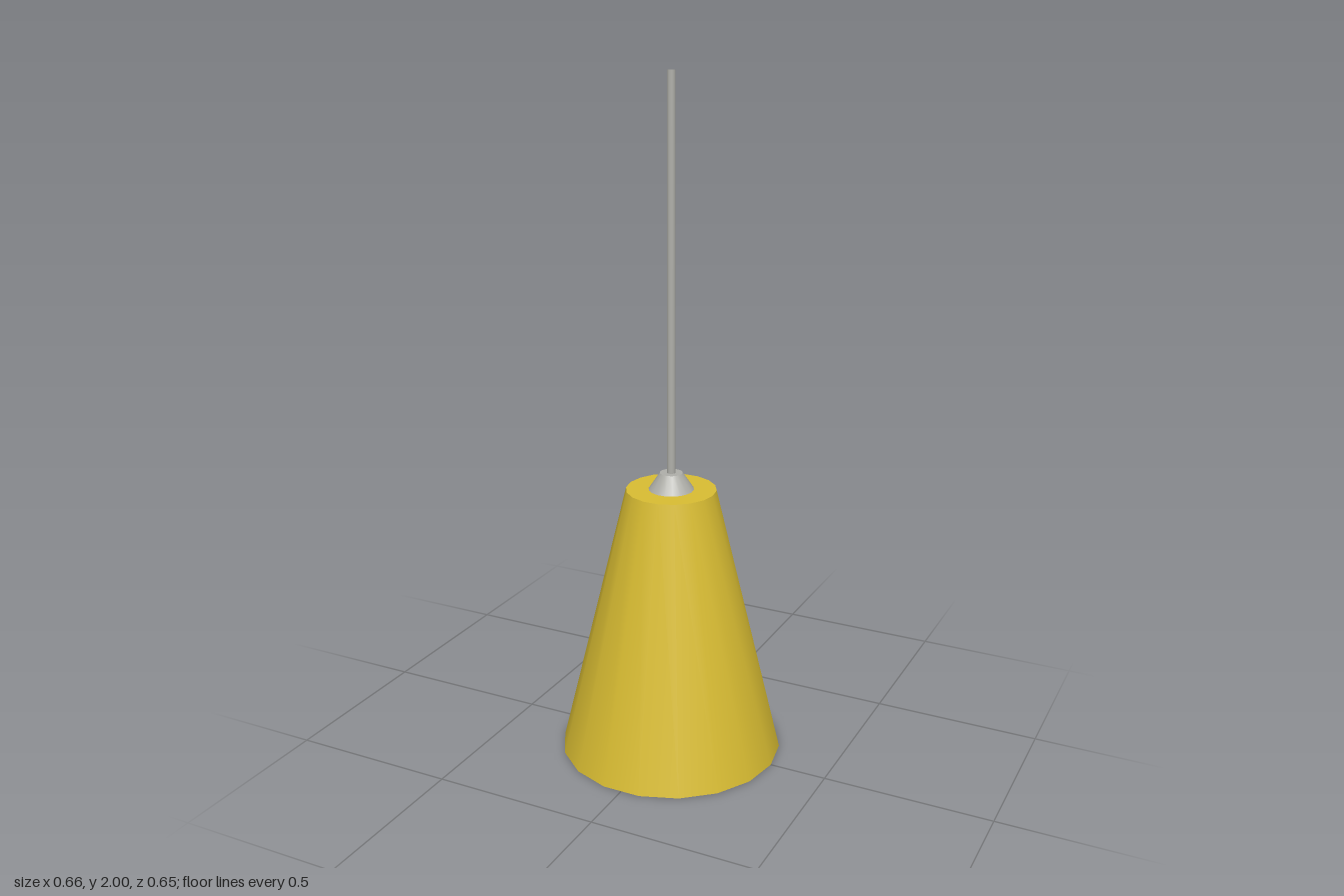
import * as THREE from 'three';

const SIDES = 18;

export function createModel() {
  const yellow = new THREE.MeshStandardMaterial({ color: 0xd8bc32, side: THREE.DoubleSide });
  yellow.name = 'yellow enamel';
  const grey = new THREE.MeshStandardMaterial({ color: 0xafafa9, side: THREE.DoubleSide });
  grey.name = 'grey metal';

  const model = new THREE.Group();
  model.name = 'pendantLamp';

  // One open band of revolution between two [radius, height] points, with a corner on the x axis
  function band(name, material, from, to) {
    const profile = [from, to].map(([r, y]) => new THREE.Vector2(r, y));
    const mesh = new THREE.Mesh(new THREE.LatheGeometry(profile, SIDES, Math.PI / 2), material);
    mesh.name = name;
    model.add(mesh);
  }

  // Thin conical shade, open at the bottom, with a cord hole in its flat top
  band('shadeWall', yellow, [0.33, 0], [0.132, 0.82]);
  band('shadeTop', yellow, [0.132, 0.82], [0.012, 0.82]);

  // Tapered collar that holds the rod
  band('collarWall', grey, [0.066, 0.82], [0.033, 0.87]);
  band('collarTop', grey, [0.033, 0.87], [0.012, 0.87]);

  // Hollow hanging rod
  band('rod', grey, [0.0125, 0.82], [0.0115, 2]);

  return model;
}
